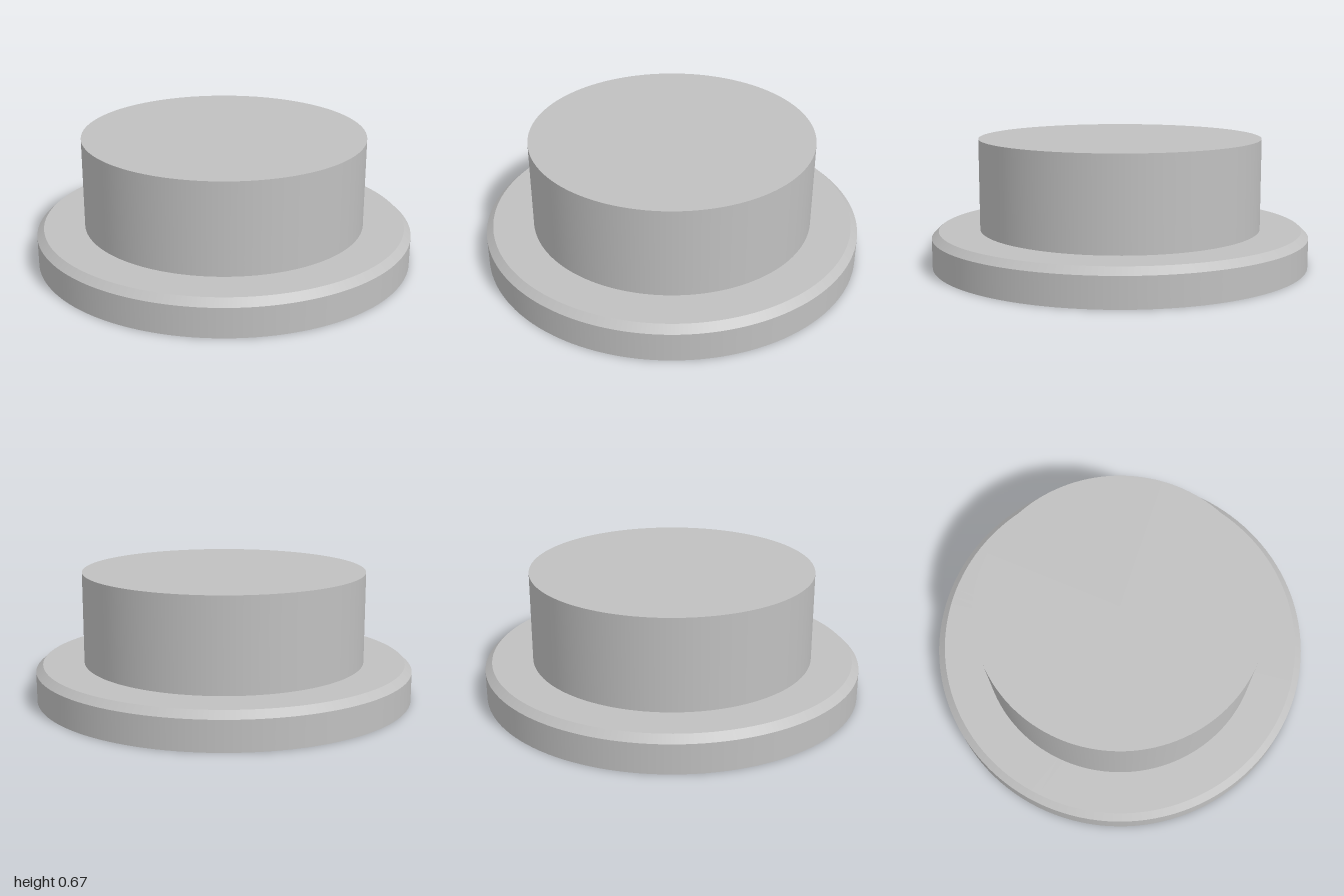
import * as THREE from 'three';

const SEGMENTS = 128;

export function createModel() {
  const model = new THREE.Group();
  model.name = 'flangedPlug';

  const grey = new THREE.MeshStandardMaterial({ color: 0xc0c0c0 });
  grey.name = 'light grey';

  // Adds an upright round part from y0 to y1
  function addRound(name, rBottom, rTop, y0, y1, open = false) {
    const geometry = new THREE.CylinderGeometry(rTop, rBottom, y1 - y0, SEGMENTS, 1, open);
    geometry.translate(0, (y0 + y1) / 2, 0);
    const mesh = new THREE.Mesh(geometry, grey);
    mesh.name = name;
    model.add(mesh);
  }

  // Flange rim wall
  addRound('flangeWall', 1, 1, 0, 0.155, true);

  // Chamfered upper edge of the flange
  addRound('flangeChamfer', 1, 0.963, 0.155, 0.19, true);

  // Flat faces: flange underside, flange shoulder and boss top
  function addFace(name, inner, outer, y, up) {
    const geometry = inner > 0
      ? new THREE.RingGeometry(inner, outer, SEGMENTS)
      : new THREE.CircleGeometry(outer, SEGMENTS);
    geometry.rotateX(up ? -Math.PI / 2 : Math.PI / 2);
    geometry.translate(0, y, 0);
    const mesh = new THREE.Mesh(geometry, grey);
    mesh.name = name;
    model.add(mesh);
  }
  addFace('flangeUnderside', 0, 1, 0, false);
  addFace('flangeShoulder', 0.747, 0.963, 0.19, true);
  addFace('bossTop', 0, 0.747, 0.67, true);

  // Raised central boss
  addRound('bossWall', 0.747, 0.747, 0.19, 0.67, true);

  return model;
}
